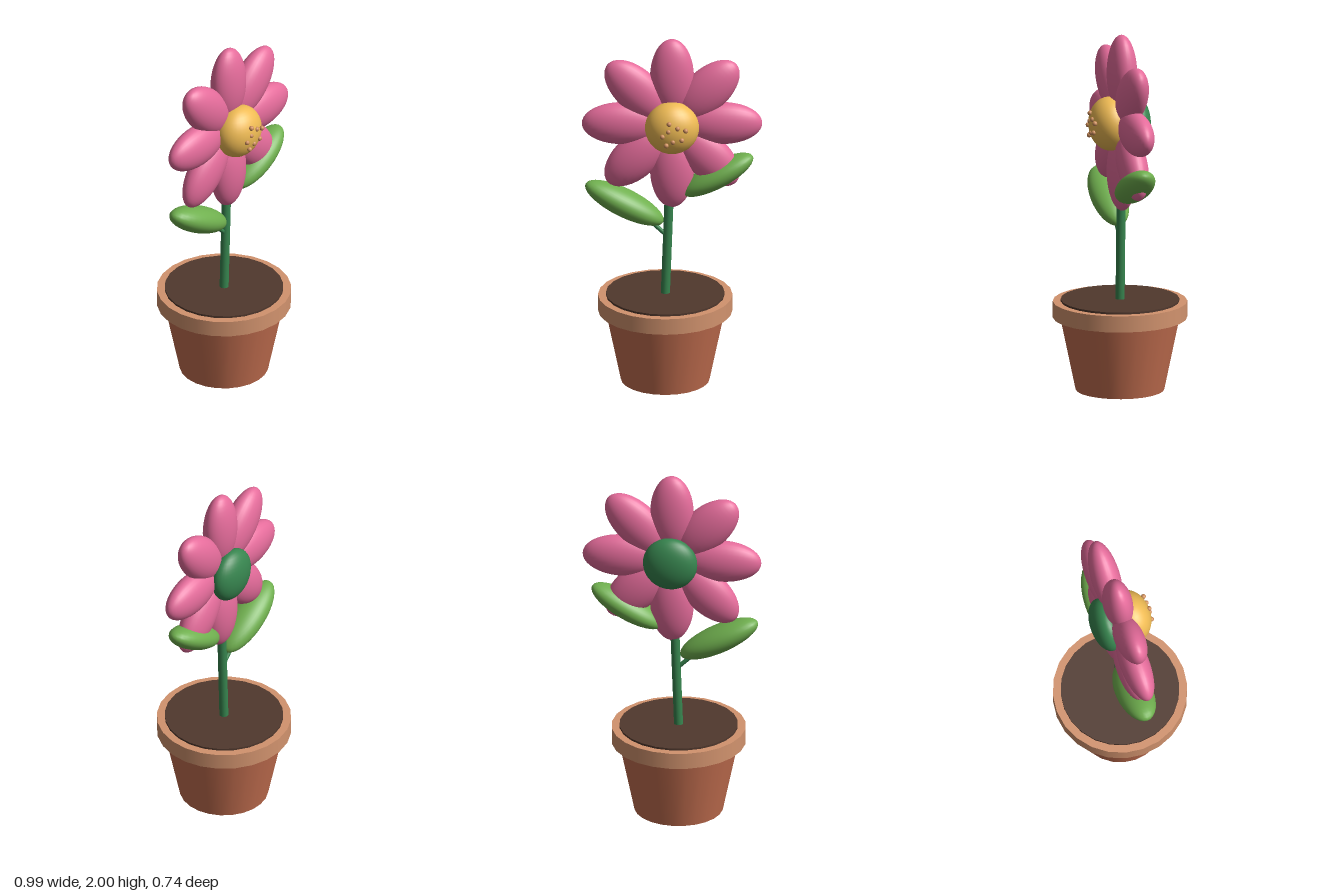
import * as THREE from 'three';

const paint = (color) => new THREE.MeshStandardMaterial({ color });
const MAT = {
  pot: paint(0xc46f50), rim: paint(0xd2936e), soil: paint(0x50382d), stem: paint(0x37854f),
  leaf: paint(0x70b04f), petal: paint(0xe56c9b), disc: paint(0xefbb54), seed: paint(0xcf8f5c),
};
const POT_X = -0.037;
const HEAD_Y = 1.505;

export function createModel() {
  const model = new THREE.Group();
  model.name = 'pottedFlower';

  const add = (name, geometry, material, parent = model) => {
    const mesh = new THREE.Mesh(geometry, material);
    mesh.name = name;
    parent.add(mesh);
    return mesh;
  };
  const ellipsoid = (rx, ry, rz) => new THREE.SphereGeometry(1, 32, 20).scale(rx, ry, rz);

  // Pot, rim and soil are stacked 24-sided cylinders
  const tier = (name, rTop, rBottom, y0, y1, material) => {
    const geometry = new THREE.CylinderGeometry(rTop, rBottom, y1 - y0, 24);
    add(name, geometry, material).position.set(POT_X, (y0 + y1) / 2, 0);
  };
  tier('pot', 0.33, 0.243, 0, 0.42, MAT.pot);
  tier('potRim', 0.368, 0.368, 0.405, 0.496, MAT.rim);
  tier('soil', 0.325, 0.325, 0.46, 0.507, MAT.soil);

  // Straight rod between two points in the front plane
  const rod = (name, x0, y0, x1, y1, radius) => {
    const path = new THREE.LineCurve3(new THREE.Vector3(x0, y0, 0), new THREE.Vector3(x1, y1, 0));
    add(name, new THREE.TubeGeometry(path, 1, radius, 16), MAT.stem);
  };
  rod('stem', POT_X, 0.48, 0, 1.5, 0.025);
  rod('leftStalk', -0.015, 1.05, 0.12, 1.13, 0.012);
  rod('rightStalk', -0.025, 0.84, -0.14, 0.95, 0.012);

  // Leaves
  const leaf = (name, x, y, length, thickness, angle) => {
    const mesh = add(name, ellipsoid(length, thickness, 0.1), MAT.leaf);
    mesh.position.set(x, y, 0);
    mesh.rotation.z = angle;
  };
  leaf('leftLeaf', 0.247, 1.2, 0.223, 0.07, 0.51);
  leaf('rightLeaf', -0.26, 1.035, 0.24, 0.075, -0.485);

  // Flower head
  const head = new THREE.Group();
  head.name = 'flowerHead';
  head.position.y = HEAD_Y;
  model.add(head);

  // Eight petals around the centre
  const petalGeometry = ellipsoid(0.12, 0.22, 0.08).translate(0, 0.273, 0);
  for (let i = 0; i < 8; i++) {
    add('petal', petalGeometry, MAT.petal, head).rotation.z = (i * Math.PI) / 4;
  }

  add('flowerCentre', ellipsoid(0.148, 0.148, 0.115), MAT.disc, head).position.z = 0.07;
  add('sepal', ellipsoid(0.15, 0.15, 0.08), MAT.stem, head).position.z = -0.074;

  // Seeds scattered on the front of the centre
  const seedGeometry = new THREE.SphereGeometry(0.014, 12, 8);
  const seeds = [
    [-0.016, 0.063], [0.03, 0.037], [0.074, 0.024], [-0.02, 0.018],
    [-0.053, -0.011], [0.053, -0.032], [0.004, -0.042], [-0.032, -0.063],
  ];
  for (const [x, y] of seeds) {
    add('seed', seedGeometry, MAT.seed, head).position.set(x, y, 0.177);
  }

  return model;
}
